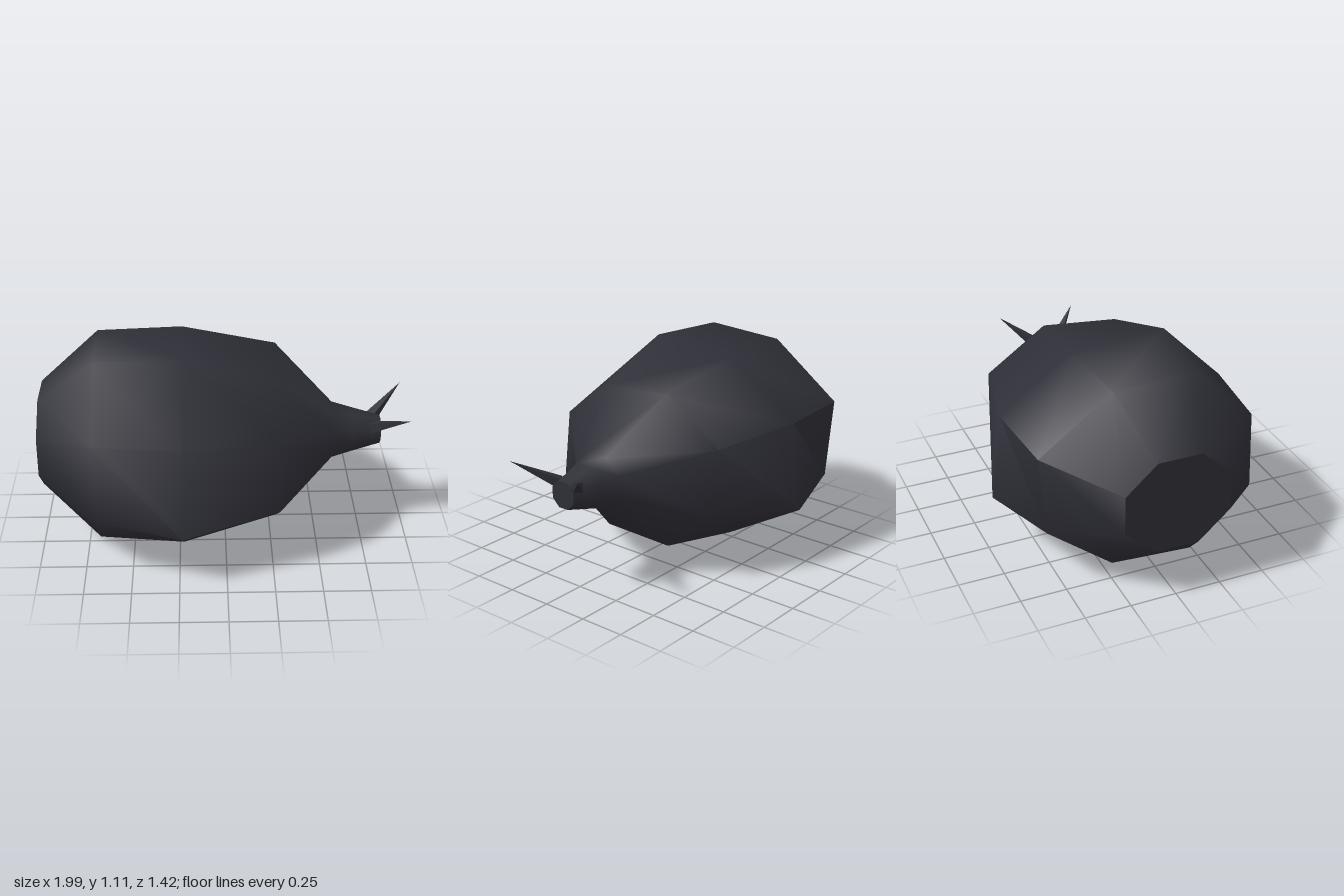
import * as THREE from 'three';
import { toCreasedNormals } from 'three/addons/utils/BufferGeometryUtils.js';

const MID = 0.558;

// regular eight-sided section with flats on top and sides, as [z, y] pairs
function octagon(halfWidth, halfHeight) {
  return Array.from({ length: 8 }, (_, i) => {
    const a = Math.PI * (3 + 2 * i) / 8;
    const k = 1 / Math.cos(Math.PI / 8);
    return [-halfWidth * k * Math.cos(a + Math.PI / 4 - 2 * Math.PI / 4 + Math.PI / 4) * 1,
      MID + halfHeight * k * Math.sin(a)];
  }).map(([z, y]) => [-z, y]);
}

// cross-sections of the body, starting at the top on the +z side and going over to -z
const sections = [
  [-1, octagon(0.288, 0.258)],
  [-0.69, [[0.23, 1.09], [-0.22, 1.07], [-0.615, 0.78], [-0.575, 0.335],
    [-0.22, 0.05], [0.23, 0.02], [0.575, 0.335], [0.56, 0.77]]],
  [-0.23, [[0.27, 1.11], [-0.25, 1.075], [-0.65, 0.785], [-0.71, 0.305],
    [-0.25, 0.04], [0.27, 0.005], [0.71, 0.305], [0.61, 0.77]]],
  [0.28, [[0.21, 0.95], [-0.21, 0.99], [-0.54, 0.76], [-0.5, 0.36],
    [-0.21, 0.13], [0.21, 0.14], [0.535, 0.36], [0.49, 0.74]]],
  [0.59, octagon(0.153, 0.14)],
  [0.7, octagon(0.113, 0.112)],
  [0.81, octagon(0.085, 0.083)],
  [0.855, octagon(0.072, 0.072)],
];

// skin stretched over the sections
function skin() {
  const pos = [], index = [];
  for (const [x, ring] of sections) for (const [z, y] of ring) pos.push(x, y, z);
  for (let s = 0; s < sections.length - 1; s++) {
    for (let i = 0; i < 8; i++) {
      const a = s * 8 + i, b = s * 8 + (i + 1) % 8;
      index.push(a, a + 8, b, b, a + 8, b + 8);
    }
  }
  const geo = new THREE.BufferGeometry();
  geo.setAttribute('position', new THREE.Float32BufferAttribute(pos, 3));
  geo.setIndex(index);
  return toCreasedNormals(geo, THREE.MathUtils.degToRad(58));
}

// flat end closing one section
function cap([x, ring], facing) {
  const pos = [];
  for (let i = 1; i < 7; i++) {
    const tri = facing > 0 ? [0, i + 1, i] : [0, i, i + 1];
    // section order runs anticlockwise seen from +x
    for (const k of tri.reverse()) pos.push(x, ring[k][1], ring[k][0]);
  }
  const geo = new THREE.BufferGeometry();
  geo.setAttribute('position', new THREE.Float32BufferAttribute(pos, 3));
  geo.computeVertexNormals();
  return geo;
}

export function createModel() {
  const model = new THREE.Group();
  const dark = new THREE.MeshStandardMaterial({ color: 0x2f2f38, side: THREE.DoubleSide });
  dark.name = 'charcoal';
  const add = (name, geo) => {
    const mesh = new THREE.Mesh(geo, dark);
    mesh.name = name;
    model.add(mesh);
    return mesh;
  };

  add('body', skin());
  add('rearEnd', cap(sections[0], -1));
  add('neckEnd', cap(sections[sections.length - 1], 1));

  // pair of slim pointed horns
  for (const side of [1, -1]) {
    const base = new THREE.Vector3(0.81, 0.6, side * 0.06);
    const axis = new THREE.Vector3(0.99, 0.727, side * 0.232).sub(base);
    const geo = new THREE.ConeGeometry(0.037, axis.length(), 4).toNonIndexed();
    geo.computeVertexNormals();
    const horn = add(side > 0 ? 'frontHorn' : 'backHorn', geo);
    horn.position.copy(base).addScaledVector(axis, 0.5);
    horn.quaternion.setFromUnitVectors(new THREE.Vector3(0, 1, 0), axis.normalize());
  }
  return model;
}
